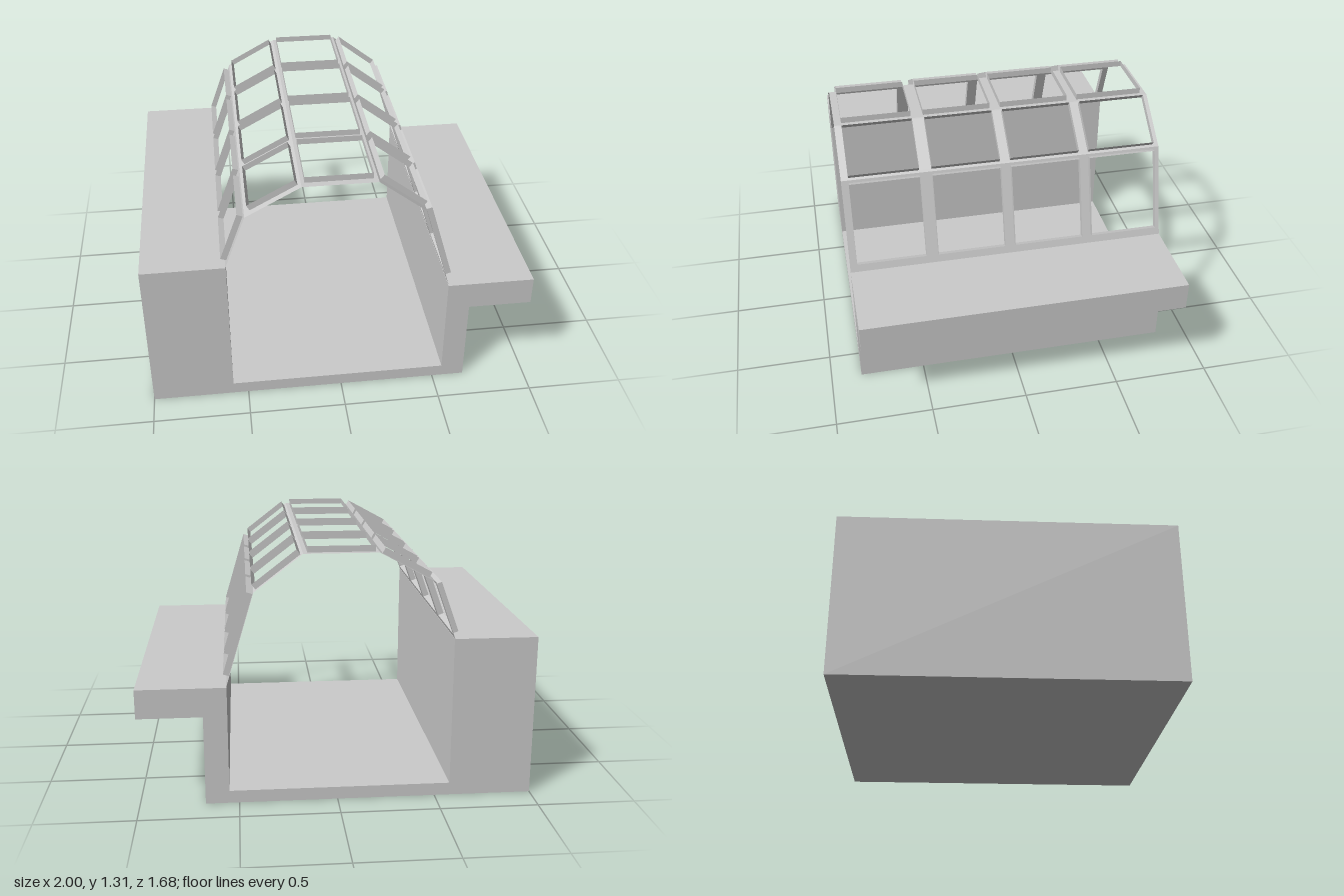
import * as THREE from 'three';

const HALF = 0.84;   // half length along z
const RIM = 0.031;   // height of the window rims

// Canopy cross-section, left to right, in the x-y plane
const ARCH = [[-0.58, 0.835], [-0.475, 1.125], [-0.2, 1.275], [0.17, 1.275], [0.41, 1.09], [0.552, 0.615]];
// Distance from each panel's ends to its window openings
const MARGINS = [[0.022, 0.018], [0.032, 0.018], [0.017, 0.022], [0.014, 0.014], [0.014, 0.052]];
// Window extents along z
const WINDOWS = [[-0.808, -0.452], [-0.398, -0.033], [0.022, 0.378], [0.442, 0.803]];

const solid = new THREE.MeshStandardMaterial({ color: 0xcccccc, flatShading: true });
const thin = new THREE.MeshStandardMaterial({ color: 0xcccccc, flatShading: true, side: THREE.DoubleSide });

function addMesh(parent, name, geometry, material) {
  const mesh = new THREE.Mesh(geometry, material);
  mesh.name = name;
  parent.add(mesh);
  return mesh;
}

// Four upright walls around a rectangular opening, open above and below
function rimGeometry(corners) {
  const positions = [], index = [];
  corners.forEach(([u, v], i) => {
    positions.push(u, v, 0, u, v, RIM);
    const a = 2 * i, b = 2 * ((i + 1) % corners.length);
    index.push(a, b, b + 1, a, b + 1, a + 1);
  });
  const geometry = new THREE.BufferGeometry();
  geometry.setAttribute('position', new THREE.Float32BufferAttribute(positions, 3));
  geometry.setIndex(index);
  geometry.computeVertexNormals();
  return geometry;
}

// One flat strip of the canopy: a thin sheet with openings and raised rims
function canopyPanel([x0, y0], [x1, y1], [m0, m1]) {
  const panel = new THREE.Group();
  panel.name = 'canopyPanel';
  const length = Math.hypot(x1 - x0, y1 - y0);
  const dir = new THREE.Vector3(x1 - x0, y1 - y0, 0).normalize();
  const across = new THREE.Vector3(0, 0, -1);
  const normal = new THREE.Vector3().crossVectors(dir, across);

  const sheet = new THREE.Shape([[0, -HALF], [length, -HALF], [length, HALF], [0, HALF]]
    .map(([u, v]) => new THREE.Vector2(u, v)));
  for (const [z0, z1] of WINDOWS) {
    const corners = [[m0, -z1], [length - m1, -z1], [length - m1, -z0], [m0, -z0]];
    sheet.holes.push(new THREE.Path(corners.map(([u, v]) => new THREE.Vector2(u, v)).reverse()));
    addMesh(panel, 'windowRim', rimGeometry(corners), thin);
  }
  addMesh(panel, 'canopySheet', new THREE.ShapeGeometry(sheet), thin);

  panel.quaternion.setFromRotationMatrix(new THREE.Matrix4().makeBasis(dir, across, normal));
  panel.position.set(x0, y0, 0);
  return panel;
}

export function createModel() {
  const model = new THREE.Group();
  model.name = 'coveredPassage';

  // Tall block, floor, low wall and overhanging ledge as one profile
  const profile = new THREE.Shape([
    [-1, 0], [0.67, 0], [0.67, 0.465], [1, 0.465], [1, 0.615], [0.55, 0.615],
    [0.55, 0.065], [-0.578, 0.065], [-0.578, 0.835], [-1, 0.835],
  ].map(([x, y]) => new THREE.Vector2(x, y)));
  const base = new THREE.ExtrudeGeometry(profile, { depth: 2 * HALF, bevelEnabled: false });
  base.translate(0, 0, -HALF);
  addMesh(model, 'base', base, solid);

  // Arched canopy
  const canopy = new THREE.Group();
  canopy.name = 'canopy';
  MARGINS.forEach((margin, i) => canopy.add(canopyPanel(ARCH[i], ARCH[i + 1], margin)));
  model.add(canopy);

  return model;
}
